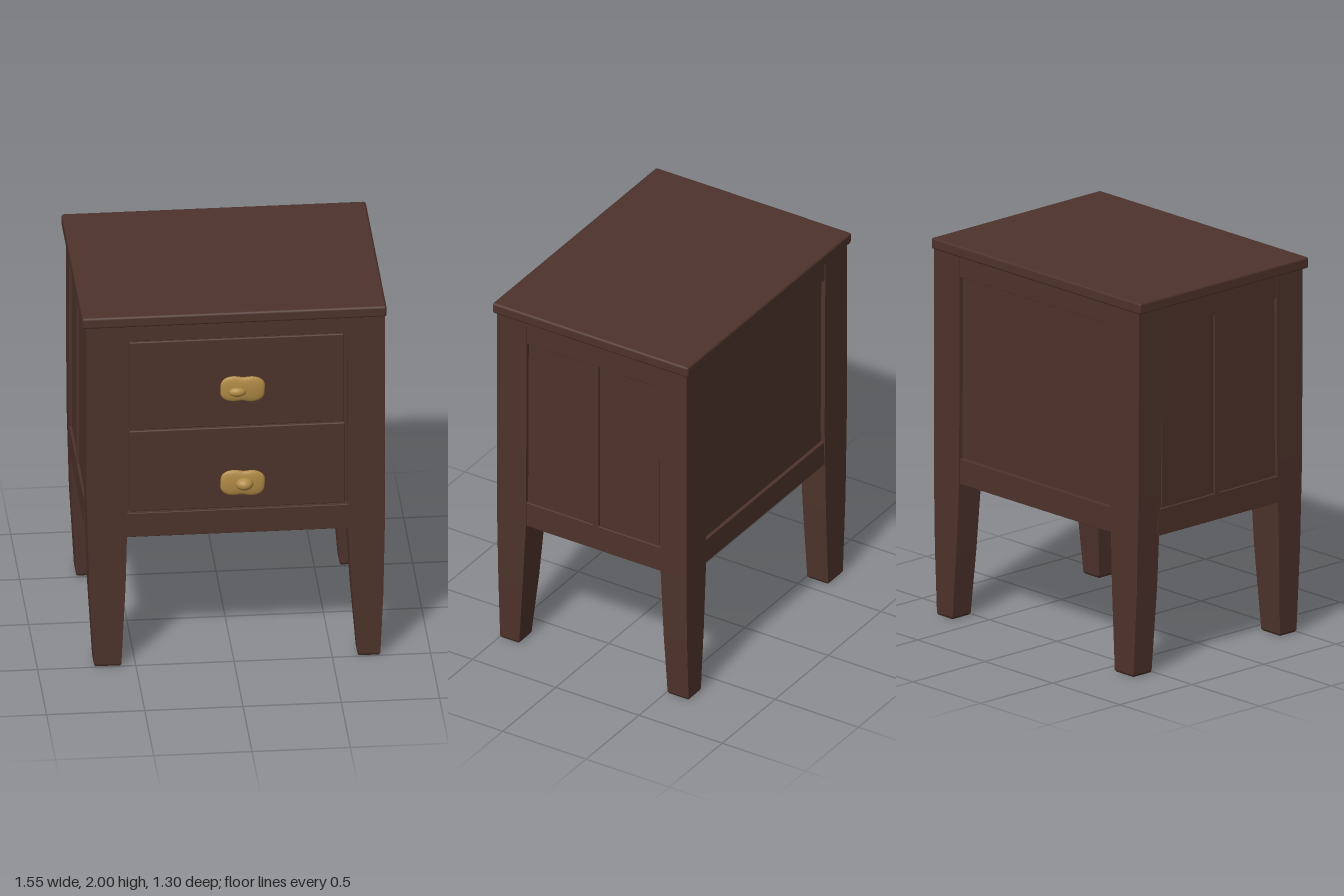
import * as THREE from 'three';
import { RoundedBoxGeometry } from 'three/addons/geometries/RoundedBoxGeometry.js';

const wood = new THREE.MeshStandardMaterial({ color: 0x4e332c });
const brass = new THREE.MeshStandardMaterial({ color: 0xb08a45 });

// Box given by its limits on each axis, edges slightly eased
function block(name, [x0, x1], [y0, y1], [z0, z1], ease = 0.003) {
  const mesh = new THREE.Mesh(new RoundedBoxGeometry(x1 - x0, y1 - y0, z1 - z0, 1, ease), wood);
  mesh.position.set((x0 + x1) / 2, (y0 + y1) / 2, (z0 + z1) / 2);
  mesh.name = name;
  return mesh;
}

// Four-sided post lofted through rows of [y, x0, x1, z0, z1], bottom to top
function post(name, rows) {
  const pos = [];
  const rings = rows.map(([y, x0, x1, z0, z1]) =>
    [[x0, y, z1], [x1, y, z1], [x1, y, z0], [x0, y, z0]]);
  const quad = (a, b, c, d) => pos.push(...a, ...b, ...c, ...a, ...c, ...d);
  for (let i = 0; i < rings.length - 1; i++) {
    for (let k = 0; k < 4; k++) {
      const n = (k + 1) % 4;
      quad(rings[i][k], rings[i][n], rings[i + 1][n], rings[i + 1][k]);
    }
  }
  const base = rings[0], top = rings[rings.length - 1];
  quad(base[3], base[2], base[1], base[0]);
  quad(top[0], top[1], top[2], top[3]);
  const geo = new THREE.BufferGeometry();
  geo.setAttribute('position', new THREE.Float32BufferAttribute(pos, 3));
  geo.computeVertexNormals();
  const mesh = new THREE.Mesh(geo, wood);
  mesh.name = name;
  return mesh;
}

// Handle: flared wooden stem, bean-shaped brass plate and an offset boss
function handle(name, y, boss) {
  const group = new THREE.Group();
  group.name = name;

  const profile = [[0, 0], [0.028, 0], [0.028, 0.03], [0.034, 0.04], [0.034, 0.06], [0.026, 0.065], [0.026, 0.095], [0, 0.095]];
  const stem = new THREE.Mesh(
    new THREE.LatheGeometry(profile.map(([r, h]) => new THREE.Vector2(r, h)), 24), wood);
  stem.rotation.x = Math.PI / 2;
  stem.scale.x = 2.1;
  stem.position.z = 0.48;
  stem.name = 'stem';

  // Flattened ball squared off in outline, with a shallow waist
  const geo = new THREE.SphereGeometry(1, 40, 24);
  const p = geo.attributes.position;
  for (let i = 0; i < p.count; i++) {
    const x = p.getX(i), v = p.getY(i), z = p.getZ(i);
    const bulge = 1 + 0.14 * Math.pow(2 * x * v, 2);
    const waist = 1 - 0.1 * Math.exp(-12 * x * x);
    p.setXYZ(i, x * bulge * 0.113, v * bulge * waist * 0.072, Math.sign(z) * Math.pow(Math.abs(z), 0.7) * 0.021);
  }
  geo.computeVertexNormals();
  const plate = new THREE.Mesh(geo, brass);
  plate.position.z = 0.59;
  plate.rotation.z = -0.05;
  plate.name = 'plate';

  const knob = new THREE.Mesh(new THREE.SphereGeometry(1, 28, 18), brass);
  knob.scale.set(boss.rx, boss.ry, boss.rz);
  knob.position.set(boss.x, boss.y, 0.605);
  knob.name = 'boss';

  group.add(stem, plate, knob);
  group.position.set(0.035, y, 0);
  return group;
}

export function createModel() {
  const model = new THREE.Group();
  model.name = 'nightstand';

  // Top board
  model.add(block('topBoard', [-0.775, 0.775], [1.94, 2.0], [-0.65, 0.525], 0.012));

  // Corner posts running down into tapered legs: [y, outer x, inner x]
  const sides = {
    left: [[0, 0.738, 0.636], [0.012, 0.745, 0.629], [0.35, 0.76, 0.602], [0.73, 0.767, 0.58], [1.945, 0.767, 0.578]],
    right: [[0, -0.705, -0.58], [0.012, -0.712, -0.573], [0.45, -0.737, -0.552], [0.95, -0.75, -0.54], [1.945, -0.752, -0.547]],
  };
  // [y, outer z, inner z]
  const depths = {
    front: [[0.49, 0.388], [0.496, 0.381], [0.497, 0.352], [0.5, 0.327], [0.5, 0.322]],
    back: [[-0.63, -0.516], [-0.636, -0.51], [-0.636, -0.496], [-0.636, -0.482], [-0.636, -0.467]],
  };
  for (const [s, xs] of Object.entries(sides)) {
    for (const [d, zs] of Object.entries(depths)) {
      model.add(post(`${d}${s === 'left' ? 'Left' : 'Right'}Leg`, xs.map(([y, xo, xi], i) => [
        y, Math.min(xo, xi), Math.max(xo, xi), Math.min(...zs[i]), Math.max(...zs[i])])));
    }
  }

  // Case behind the frame; its faces show as the recessed panels
  model.add(block('caseBody', [-0.732, 0.747], [0.775, 1.945], [-0.612, 0.455]));

  // Rails, front and back
  for (const [name, z] of [['front', [0.43, 0.494]], ['back', [-0.631, -0.58]]]) {
    const y = name === 'front' ? 1.845 : 1.83;
    model.add(block(`${name}TopRail`, [-0.56, 0.6], [y, 1.945], z));
    model.add(block(`${name}BottomRail`, [-0.56, 0.6], [0.73, 0.865], z));
  }

  // Rails, centre stile and raised panel fields on both sides
  for (const [name, x, field] of [
    ['left', [0.71, 0.764], [0.7, 0.752]],
    ['right', [-0.749, -0.695], [-0.737, -0.69]],
  ]) {
    model.add(block(`${name}TopRail`, x, [1.82, 1.945], [-0.5, 0.35]));
    model.add(block(`${name}BottomRail`, x, [0.73, 0.87], [-0.5, 0.35]));
    model.add(block(`${name}Stile`, x, [0.85, 1.84], [-0.105, -0.072]));
    model.add(block(`${name}FrontPanel`, field, [0.87, 1.82], [-0.07, 0.298]));
    model.add(block(`${name}BackPanel`, field, [0.87, 1.82], [-0.462, -0.107]));
  }

  // Two drawers
  model.add(block('upperDrawer', [-0.534, 0.561], [1.338, 1.836], [0.4, 0.49], 0.006));
  model.add(block('lowerDrawer', [-0.534, 0.566], [0.872, 1.33], [0.4, 0.49], 0.006));

  // Handles
  model.add(handle('upperHandle', 1.6, { x: -0.028, y: -0.008, rx: 0.045, ry: 0.026, rz: 0.026 }));
  model.add(handle('lowerHandle', 1.065, { x: 0.008, y: 0.002, rx: 0.046, ry: 0.034, rz: 0.043 }));

  return model;
}
